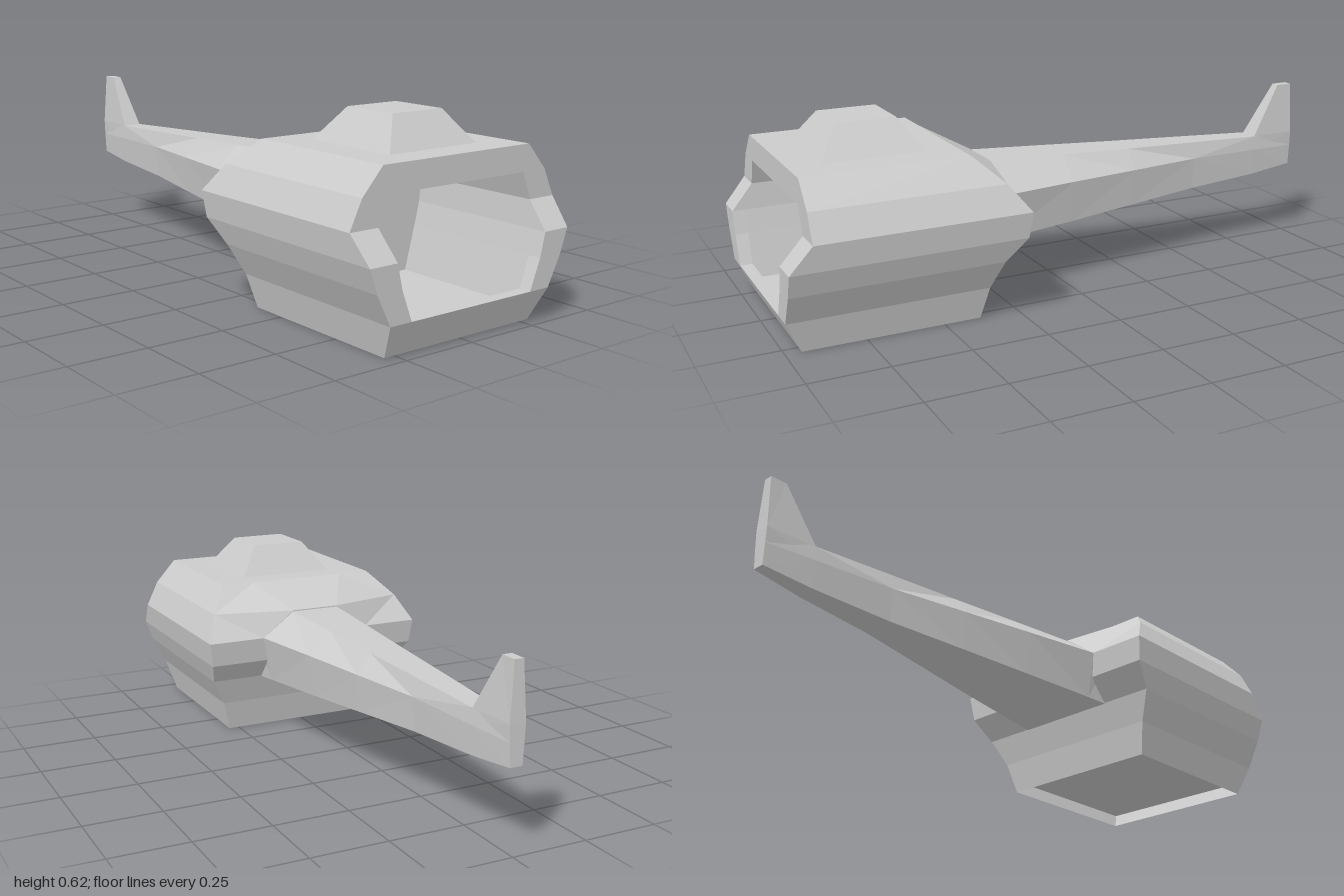
import * as THREE from 'three';

const material = new THREE.MeshStandardMaterial({ color: 0xcccccc, flatShading: true, side: THREE.DoubleSide });

const distance = (p, q) => Math.hypot(p[0] - q[0], p[1] - q[1], p[2] - q[2]);

// Skin a row of cross-sections; each runs counter-clockwise seen from the last one.
// Quads split along the shorter diagonal, so both sides stay symmetric.
function loft(name, rings, { closed = true, capStart = false, capEnd = false } = {}) {
  const pos = [];
  const tri = (a, b, c) => pos.push(...a, ...b, ...c);
  for (let r = 0; r < rings.length - 1; r++) {
    const a = rings[r], b = rings[r + 1], n = a.length;
    for (let i = 0; i < (closed ? n : n - 1); i++) {
      const j = (i + 1) % n;
      if (distance(a[i], b[j]) < distance(a[j], b[i])) {
        tri(a[i], a[j], b[j]);
        tri(a[i], b[j], b[i]);
      } else {
        tri(a[i], a[j], b[i]);
        tri(a[j], b[j], b[i]);
      }
    }
  }
  const first = rings[0], last = rings[rings.length - 1];
  for (let i = 1; i < first.length - 1; i++) {
    if (capStart) tri(first[0], first[i + 1], first[i]);
    if (capEnd) tri(last[0], last[i], last[i + 1]);
  }
  const geometry = new THREE.BufferGeometry();
  geometry.setAttribute('position', new THREE.Float32BufferAttribute(pos, 3));
  geometry.computeVertexNormals();
  const mesh = new THREE.Mesh(geometry, material);
  mesh.name = name;
  return mesh;
}

// Up the +x side, then down the mirrored side.
const mirrored = (half) => [...half, ...half.map(([x, y, z]) => [-x, y, z]).reverse()];

// Horizontal rectangle, counter-clockwise from above.
const rect = (hw, y, z0, z1, hwBack = hw) => [[hw, y, z1], [hwBack, y, z0], [-hwBack, y, z0], [-hw, y, z1]];

// Cabin levels: height, half width, front z, back z, half width of the opening
const levels = [
  [0, 0.285, 0.95, 0.38, 0],
  [0.105, 0.312, 1.0, 0.357, 0.235],
  [0.2, 0.36, 1.0, 0.325, 0.272],
  [0.275, 0.387, 1.0, 0.258, 0.29],
  [0.358, 0.398, 0.93, 0.248, 0.298],
  [0.445, 0.356, 0.93, 0.315, 0.266],
  [0.525, 0.284, 0.93, 0.4, 0.25],
];
const ceilingY = 0.443, floorY = 0.055;

export function createModel() {
  const group = new THREE.Group();

  // Cabin sides and roof, open underneath
  const back = mirrored(levels.map(([y, x, , zb]) => [x, y, zb]));
  const front = mirrored(levels.map(([y, x, zf]) => [x, y, zf]));
  group.add(loft('cabinShell', [back, front], { closed: false }));

  // Front frame around the opening
  const upper = levels.slice(1);
  const rim = mirrored(upper.map(([y, x, zf]) => [x, y, zf]));
  const opening = mirrored(upper.map(([y, , zf, , xi]) => [xi, Math.min(y, ceilingY), zf]));
  group.add(loft('frontFrame', [rim, opening], { closed: false }));

  // Cavity: a sill, a step down to the floor, then straight to the rear bulkhead
  const sill = opening.map(([x, y, z]) => [x, y, z - 0.04]);
  const step = sill.map(([x, y, z]) => [x, y < 0.11 ? floorY : y, z - 0.002]);
  const rear = step.map(([x, y]) => [y > 0.4 ? Math.sign(x) * 0.25 : x, y, 0.48]);
  group.add(loft('cabinInterior', [opening, sill, step, rear], { capEnd: true }));

  // Lower front panel
  const panelRow = ([y, x, zf]) => [[-x, y, zf], [x, y, zf]];
  group.add(loft('lowerFrontPanel', levels.slice(0, 2).map(panelRow), { closed: false }));

  // Rear wall, bulging out in the middle to meet the boom
  const rearRows = levels.map(([y, x, , zb], i) => {
    const inner = i === 6 ? 0.17 : i === 5 ? 0.085 : 0.2;
    const z = i === 5 ? 0.25 : zb;
    return [[x, y, zb], [inner, y, z], [-inner, y, z], [-x, y, zb]];
  });
  group.add(loft('rearWall', rearRows, { closed: false }));

  // Floor plate, recessed from below
  const floor = new THREE.Mesh(new THREE.BoxGeometry(0.594, 0.006, 0.6), material);
  floor.name = 'floor';
  floor.position.set(0, floorY - 0.004, 0.671);
  group.add(floor);

  // Roof housing
  group.add(loft('roofHousing', [rect(0.169, 0.525, 0.495, 0.83), rect(0.096, 0.625, 0.567, 0.76)], { capEnd: true }));

  // Tail boom: z, bottom width and height, side width and height, top width and height
  const boom = [
    [-1.0, 0.02, 0.265, 0.024, 0.337, 0.02, 0.38],
    [-0.83, 0.034, 0.249, 0.04, 0.341, 0.035, 0.39],
    [-0.55, 0.056, 0.237, 0.064, 0.347, 0.048, 0.403],
    [-0.28, 0.096, 0.225, 0.11, 0.351, 0.061, 0.415],
    [-0.02, 0.134, 0.213, 0.154, 0.355, 0.073, 0.428],
    [0.25, 0.17, 0.202, 0.2, 0.358, 0.086, 0.441],
    [0.33, 0.18, 0.198, 0.2, 0.358, 0.086, 0.441],
  ].map(([z, bw, by, sw, sy, tw, ty]) => mirrored([[bw, by, z], [sw, sy, z], [tw, ty, z]]));
  group.add(loft('tailBoom', boom, { capStart: true, capEnd: true }));

  // Tail fin
  group.add(loft('tailFin', [
    rect(0.034, 0.34, -1.0, -0.83, 0.024),
    rect(0.034, 0.39, -1.0, -0.83, 0.026),
    rect(0.015, 0.567, -0.995, -0.938),
  ], { capEnd: true }));

  return group;
}
